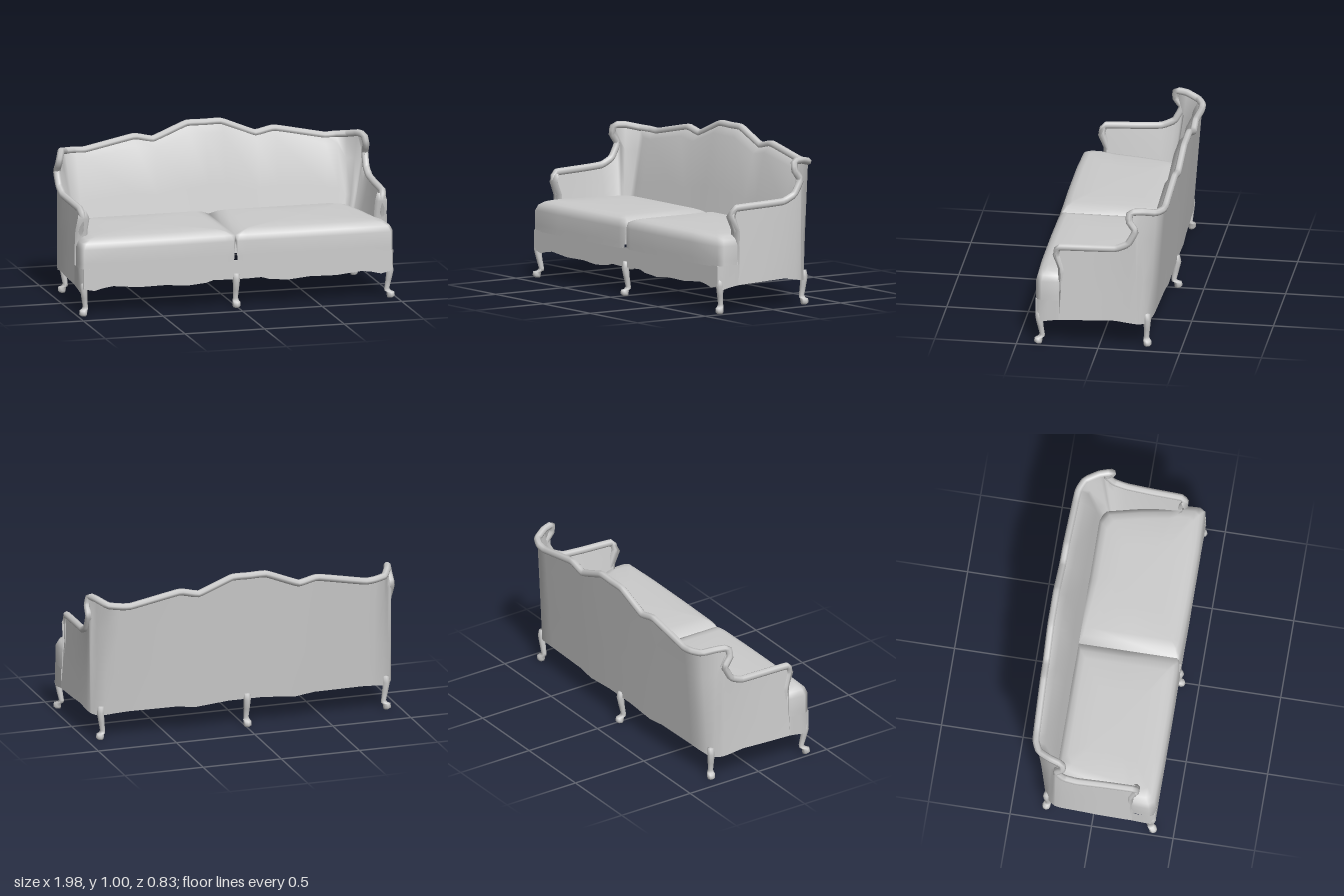
import * as THREE from 'three';

const grey = new THREE.MeshStandardMaterial({ color: 0xcccccc, side: THREE.DoubleSide });
grey.name = 'grey';
const V = (x, y, z) => new THREE.Vector3(x, y, z);

function mesh(name, geometry) {
  const m = new THREE.Mesh(geometry, grey);
  m.name = name;
  return m;
}

// Surface through rows of points; closed joins each row into a ring
function loft(rows, closed = false) {
  const n = rows[0].length, pos = [], idx = [];
  rows.forEach(r => r.forEach(p => pos.push(p.x, p.y, p.z)));
  for (let i = 0; i < rows.length - 1; i++) {
    for (let j = 0; j < (closed ? n : n - 1); j++) {
      const k = (j + 1) % n;
      const a = i * n + j, b = i * n + k, c = a + n, d = b + n;
      idx.push(a, b, d, a, d, c);
    }
  }
  const g = new THREE.BufferGeometry();
  g.setAttribute('position', new THREE.Float32BufferAttribute(pos, 3));
  g.setIndex(idx);
  g.computeVertexNormals();
  return g;
}

// Stations from arm front to back centre: [rail, outer hem, inner foot, notch z]
const stations = [
  [[.95, .632, .245], [.985, .167, .25], [.90, .29, .25]],
  [[.955, .64, .05], [.985, .175, .05], [.89, .29, .05]],
  [[.962, .648, -.10], [.98, .18, -.10], [.88, .29, -.10]],
  [[.965, .685, -.18], [.972, .165, -.19], [.865, .29, -.15]],
  [[.968, .77, -.225], [.963, .157, -.23], [.858, .29, -.165]],
  [[.965, .83, -.185], [.957, .155, -.24], [.854, .29, -.17], -.235],
  [[.953, .885, -.19], [.95, .152, -.25], [.85, .29, -.175], -.24],
  [[.93, .885, -.26], [.93, .15, -.275], [.845, .29, -.185]],
  [[.885, .865, -.34], [.89, .155, -.30], [.835, .29, -.20]],
  [[.82, .86, -.37], [.82, .165, -.315], [.80, .29, -.205]],
  [[.75, .857, -.375], [.75, .17, -.32], [.74, .29, -.205]],
  [[.44, .918, -.384], [.44, .17, -.327], [.44, .29, -.205]],
  [[.32, .895, -.387], [.32, .155, -.33], [.32, .29, -.205]],
  [[.11, .978, -.392], [.11, .175, -.335], [.11, .29, -.205]],
  [[0, .978, -.392], [0, .175, -.335], [0, .29, -.205]],
];
const flip = ([x, y, z]) => [-x, y, z];
const mirrored = stations.slice(0, -1).reverse()
  .map(([r, o, i, notch]) => [flip(r), flip(o), flip(i), notch]);
const allStations = [...stations, ...mirrored];

// Wall from hem (1 = outer, 2 = inner) up to the rail, notched under the wings;
// the inner back is padded forward just below the rail
function wall(which) {
  return loft(allStations.map(s => {
    const top = V(...s[0]), foot = V(...s[which]);
    const padded = which === 2 && top.z < -.36;
    const mid = foot.clone().lerp(top, padded ? .92 : .75);
    if (padded) mid.z += .045;
    if (s[3] !== undefined) mid.set(top.x, .775, s[3]);
    return [foot, foot.clone().lerp(mid, .5), mid, top];
  }));
}

// Seat cushion, hollow below and open towards its neighbour at the seam
function cushion(side) {
  const outline = [[0, -.25], [.4, -.25], [.8, -.25], [.87, -.21], [.92, 0], [.955, .2],
    [.98, .26], [.984, .35], [.962, .385], [.7, .394], [.35, .394], [.06, .39], [.012, .384], [0, .375], [0, .06]];
  const rings = [[1, .285], [1, .32], [1, .41], [.965, .445], [.9, .465], [.8, .477], [.45, .48], [0, .482]];
  return loft(rings.map(([s, y]) => outline.map(([x, z]) => {
    const seam = x < .01;
    const px = seam && s > .95 ? 0 : .49 + (x - .49) * s;
    return V(side * px - .01 * (1 - px / .984), seam ? Math.max(y, .415) : y, .08 + (z - .08) * s);
  })), true);
}

// Curved leg: sections of [outward shift, height, radius]
function leg(x, z, dx, dz) {
  const sections = [[.0, .21, 0], [.0, .21, .02], [.006, .17, .023], [-.004, .11, .019], [-.016, .055, .016],
    [-.01, .04, .021], [.008, .035, .025], [.012, .012, .025], [.006, 0, .017], [.006, 0, 0]];
  return loft(sections.map(([s, y, r]) => Array.from({ length: 8 }, (_, i) => {
    const a = -i / 4 * Math.PI;
    return V(x + dx * s + r * Math.cos(a), y, z + dz * s + r * Math.sin(a));
  })), true);
}

export function createModel() {
  const sofa = new THREE.Group();
  sofa.name = 'sofa';

  sofa.add(mesh('outerShell', wall(1)), mesh('innerUpholstery', wall(2)));

  // Carved rail running up both arm fronts and along the top
  const front = [[.945, .31, .222], [.947, .48, .23], [.94, .585, .262]];
  const railPoints = [...front, ...allStations.map(s => s[0]), ...front.slice().reverse().map(flip)]
    .map(p => V(...p));
  const railCurve = new THREE.CatmullRomCurve3(railPoints, false, 'catmullrom', .15);
  sofa.add(mesh('topRail', new THREE.TubeGeometry(railCurve, 160, .022, 7)));

  // Front apron with scalloped hem
  const hem = [[.97, .17], [.9, .155], [.84, .17], [.78, .178], [.62, .162], [.45, .165],
    [.32, .153], [.2, .163], [.15, .178], [.06, .175]];
  const apron = new THREE.Shape();
  apron.moveTo(-.97, .292);
  apron.lineTo(.97, .292);
  hem.forEach(([x, y]) => apron.lineTo(x, y));
  hem.slice().reverse().forEach(([x, y]) => apron.lineTo(-x, y));
  const apronGeometry = new THREE.ExtrudeGeometry(apron, { depth: .008, bevelEnabled: false });
  apronGeometry.translate(0, 0, .379);
  sofa.add(mesh('frontApron', apronGeometry));

  for (const side of [1, -1]) {
    const word = side > 0 ? 'left' : 'right';

    // Padded arm front: outer edge, rounded middle, inner edge
    const armRows = [[.21, .254, .985, .90], [.35, .245, .983, .90], [.5, .25, .978, .90],
      [.58, .284, .972, .897], [.625, .264, .96, .915]];
    sofa.add(mesh(word + 'ArmFront', loft(armRows.map(([y, z, out, inn]) => [
      V(side * out, y, z - .015), V(side * (out - .015), y, z), V(side * (inn + .015), y, z), V(side * inn, y, z - .02)]))));

    // Short side of the apron ahead of the arm
    sofa.add(mesh(word + 'SideApron', loft([
      [V(side * .985, .292, .245), V(side * .985, .167, .245)],
      [V(side * .985, .292, .31), V(side * .985, .157, .31)],
      [V(side * .985, .292, .36), V(side * .982, .145, .36)],
      [V(side * .965, .292, .387), V(side * .965, .17, .387)]])));

    sofa.add(mesh(word + 'Cushion', cushion(side)));
    sofa.add(mesh(word + 'FrontLeg', leg(side * .958, .362, side * .7, .8)));
    sofa.add(mesh(word + 'BackLeg', leg(side * .91, -.287, side * .7, -.3)));
  }

  sofa.add(mesh('middleFrontLeg', leg(-.008, .38, 0, 1)));
  sofa.add(mesh('middleBackLeg', leg(-.008, -.332, 0, -1)));
  return sofa;
}
